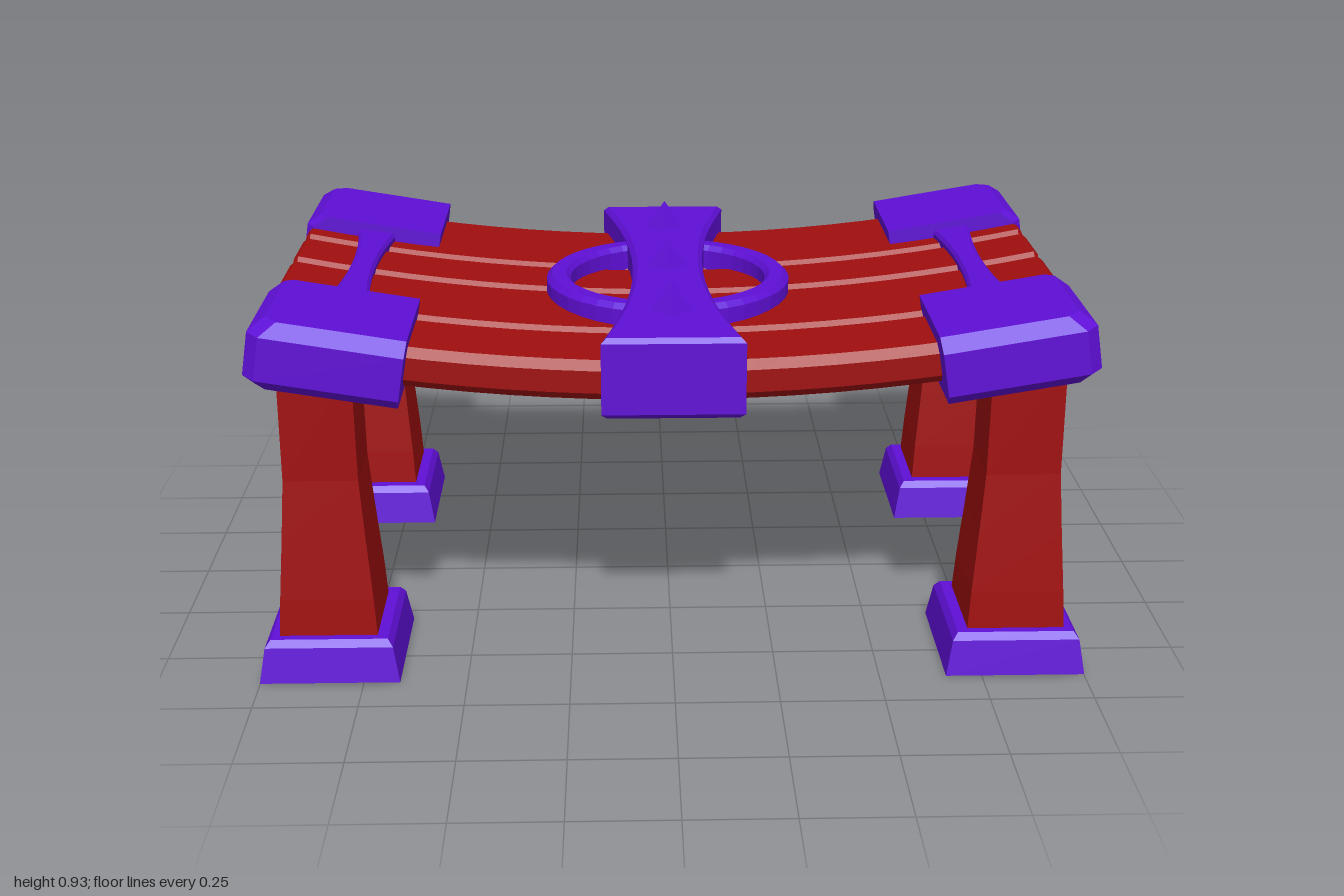
import * as THREE from 'three';

const red = new THREE.MeshStandardMaterial({ color: 0xa00e0e, flatShading: true });
const purple = new THREE.MeshStandardMaterial({ color: 0x5f0fd6, flatShading: true });

function add(parent, name, geometry, material, x = 0, y = 0, z = 0) {
  const mesh = new THREE.Mesh(geometry, material);
  mesh.name = name;
  mesh.position.set(x, y, z);
  parent.add(mesh);
  return mesh;
}

// Closed solid through horizontal sections: [{ y, points: [[x, z], ...] }]
function loft(levels) {
  const n = levels[0].points.length;
  const positions = levels.flatMap(({ y, points }) => points.flatMap(([x, z]) => [x, y, z]));
  const index = [];
  for (let l = 0; l < levels.length - 1; l++) {
    for (let i = 0; i < n; i++) {
      const a = l * n + i, b = l * n + (i + 1) % n;
      index.push(a, b, b + n, a, b + n, a + n);
    }
  }
  const top = (levels.length - 1) * n;
  for (let i = 1; i < n - 1; i++) index.push(top, top + i, top + i + 1, 0, i + 1, i);
  const geometry = new THREE.BufferGeometry();
  geometry.setAttribute('position', new THREE.Float32BufferAttribute(positions, 3));
  geometry.setIndex(index);
  const flat = geometry.toNonIndexed();
  flat.computeVertexNormals();
  return flat;
}

// Square column from [y, halfWidth] pairs
const column = (profile) => loft(profile.map(([y, h]) => ({
  y, points: [[h, h], [h, -h], [-h, -h], [-h, h]],
})));

// Strap that narrows towards its middle, centred, running along z
function waistedStrap(endHalf, midHalf, halfLength, height, bevel) {
  const side = [];
  for (let i = 0; i <= 12; i++) {
    const t = i / 6 - 1;
    side.push([midHalf + (endHalf - midHalf) * t * t - bevel, t * (halfLength - bevel)]);
  }
  const outline = [...side, ...side.map(([x, z]) => [-x, z]).reverse()];
  const shape = new THREE.Shape(outline.map(([x, z]) => new THREE.Vector2(x, z)));
  const geometry = new THREE.ExtrudeGeometry(shape, {
    depth: height - 2 * bevel, bevelSize: bevel, bevelThickness: bevel, bevelSegments: 1,
  });
  geometry.translate(0, 0, bevel - height / 2);
  return geometry.rotateX(-Math.PI / 2);
}

// Chamfered plank along x, bent upwards at both ends
function plank(z0, z1) {
  const y0 = 0.69, y1 = 0.787, c = 0.014, bevel = 0.012, half = 0.963;
  const s = new THREE.Shape();
  const a = -z1 + 0.002 + bevel, b = -z0 - 0.002 - bevel, lo = y0 + bevel, hi = y1 - bevel;
  [[a + c, lo], [b - c, lo], [b, lo + c], [b, hi - c], [b - c, hi], [a + c, hi], [a, hi - c], [a, lo + c]]
    .forEach(([x, y], i) => (i ? s.lineTo(x, y) : s.moveTo(x, y)));
  const geometry = new THREE.ExtrudeGeometry(s, {
    depth: 2 * (half - bevel), steps: 20, bevelSize: bevel, bevelThickness: bevel, bevelSegments: 1,
  });
  geometry.translate(0, 0, bevel - half);
  geometry.rotateY(Math.PI / 2);
  const p = geometry.attributes.position;
  for (let i = 0; i < p.count; i++) p.setY(i, p.getY(i) + 0.105 * p.getX(i) ** 2);
  geometry.computeVertexNormals();
  return geometry;
}

// Corner cap, chamfered on its outer sides only
function cornerCap(sx, sz) {
  const section = (y, inset) => {
    const x = 0.36 - inset, zi = -0.178, zo = 0.178 - inset, cut = 0.03;
    const points = [[x - cut, zo], [x, zo - cut], [x, zi + 0.02], [x - 0.02, zi], [0, zi], [0, zo]]
      .map(([px, pz]) => [px * sx, pz * sz]);
    return { y, points: sx * sz < 0 ? points.reverse() : points };
  };
  return loft([section(0, 0.025), section(0.025, 0), section(0.13, 0), section(0.162, 0.033)]);
}

export function createModel() {
  const model = new THREE.Group();
  model.name = 'table';

  // Table top
  const top = new THREE.Group();
  top.name = 'tableTop';
  model.add(top);
  const seams = [-0.575, -0.211, 0.003, 0.323, 0.565];
  for (let i = 0; i < 4; i++) add(top, `plank${i + 1}`, plank(seams[i], seams[i + 1]), red);

  // Legs, feet and corner caps
  const tilt = 0.165;
  for (const sx of [-1, 1]) {
    for (const sz of [-1, 1]) {
      const corner = new THREE.Group();
      corner.name = `${sz > 0 ? 'front' : 'back'}${sx > 0 ? 'Left' : 'Right'}Corner`;
      model.add(corner);
      add(corner, 'leg', column([[0, 0.118], [0.1, 0.118], [0.2, 0.112], [0.35, 0.1], [0.5, 0.089], [0.78, 0.087]]),
        red, sx * 0.834, 0, sz * 0.473);
      add(corner, 'foot', column([[0.003, 0.169], [0.09, 0.154], [0.107, 0.141]]),
        purple, sx * 0.831, 0, sz * 0.47);
      add(corner, 'cornerCap', cornerCap(sx, sz), purple, sx * 0.635, 0.703, sz * 0.467)
        .rotation.z = sx * tilt;
    }
    // Narrow strap between the two caps of each end
    add(model, sx > 0 ? 'leftStrap' : 'rightStrap', waistedStrap(0.075, 0.03, 0.45, 0.135, 0.008),
      purple, sx * 0.79, 0.806, 0).rotation.z = sx * tilt;
  }

  // Middle strap and its studs
  add(model, 'middleStrap', waistedStrap(0.167, 0.09, 0.596, 0.198, 0.012), purple, 0, 0.759, 0);
  for (const z of [-0.375, 0, 0.375]) {
    add(model, 'stud', new THREE.ConeGeometry(0.06, 0.085, 4), purple, 0, 0.887, z);
  }

  // Inlaid ring with bevelled rims
  const ring = [[0.25, 0.77], [0.25, 0.83], [0.262, 0.843], [0.298, 0.843], [0.312, 0.83], [0.312, 0.77], [0.25, 0.77]]
    .map(([r, y]) => new THREE.Vector2(r, y)).reverse();
  add(model, 'ring', new THREE.LatheGeometry(ring, 40), purple);

  return model;
}
